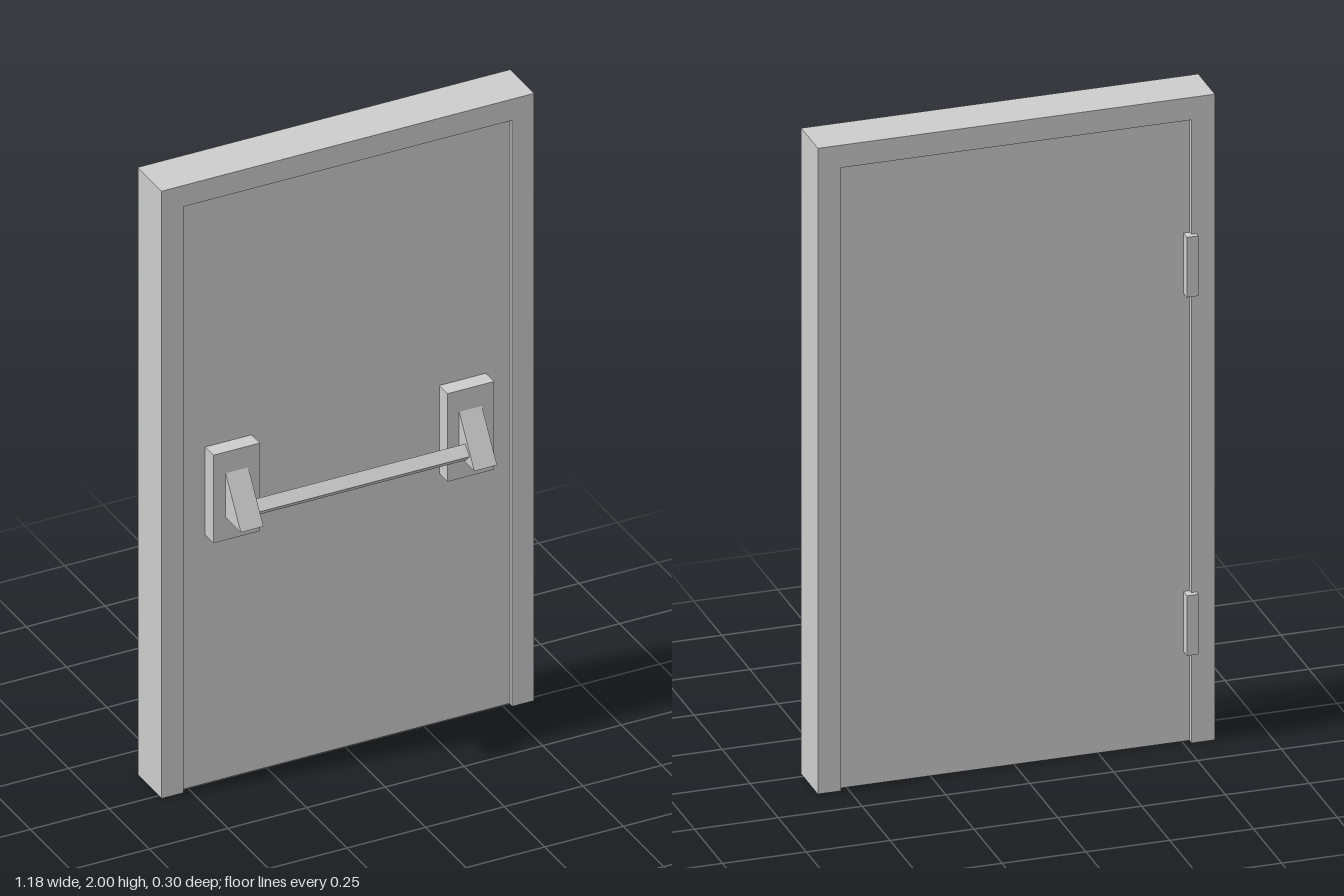
import * as THREE from 'three';

const material = new THREE.MeshStandardMaterial({ color: 0xcccccc, flatShading: true });

function add(parent, name, geometry) {
  const mesh = new THREE.Mesh(geometry, material);
  mesh.name = name;
  parent.add(mesh);
  return mesh;
}

// Box given by its limits on each axis
function box(x0, x1, y0, y1, z0, z1) {
  return new THREE.BoxGeometry(x1 - x0, y1 - y0, z1 - z0)
    .translate((x0 + x1) / 2, (y0 + y1) / 2, (z0 + z1) / 2);
}

// Prism along x from a (z, y) section
function prism(section, x0, x1) {
  const shape = new THREE.Shape(section.map(([z, y]) => new THREE.Vector2(-z, y)));
  return new THREE.ExtrudeGeometry(shape, { depth: x1 - x0, bevelEnabled: false })
    .rotateY(Math.PI / 2).translate(x0, 0, 0);
}

export function createModel() {
  const model = new THREE.Group();
  model.name = 'door';

  // Frame: two posts and a lintel in one piece, open at the bottom
  const outline = [[-0.592, 0], [-0.522, 0], [-0.522, 1.93], [0.522, 1.93],
    [0.522, 0], [0.592, 0], [0.592, 2], [-0.592, 2]];
  const frameShape = new THREE.Shape(outline.map(([x, y]) => new THREE.Vector2(x, y)));
  add(model, 'frame', new THREE.ExtrudeGeometry(frameShape, { depth: 0.148, bevelEnabled: false })
    .translate(0, 0, -0.13));

  // Leaf, slightly recessed on both faces
  add(model, 'leaf', box(-0.522, 0.522, 0.002, 1.93, -0.115, 0.003));

  // Push bar: plates, wedge arms and a bar turned on its edge
  const pushBar = new THREE.Group();
  pushBar.name = 'pushBar';
  model.add(pushBar);
  const wedge = [[0.054, 0.895], [0.148, 0.895], [0.054, 1.04]];
  for (const [side, s] of [['left', 1], ['right', -1]]) {
    const span = (a, b) => (s > 0 ? [a, b] : [-b, -a]);
    add(pushBar, side + 'Plate', box(...span(0.298, 0.446), 0.82, 1.11, 0.003, 0.054));
    add(pushBar, side + 'Arm', prism(wedge, ...span(0.335, 0.407)));
  }
  const barSection = [[0.09, 0.954], [0.119, 0.927], [0.097, 0.904], [0.068, 0.931]];
  add(pushBar, 'bar', prism(barSection, -0.34, 0.34));

  // Hinges on the back
  for (const [name, y] of [['lowerHinge', 0.28], ['upperHinge', 1.39]]) {
    add(model, name, box(-0.538, -0.503, y, y + 0.186, -0.147, -0.115));
  }
  return model;
}
